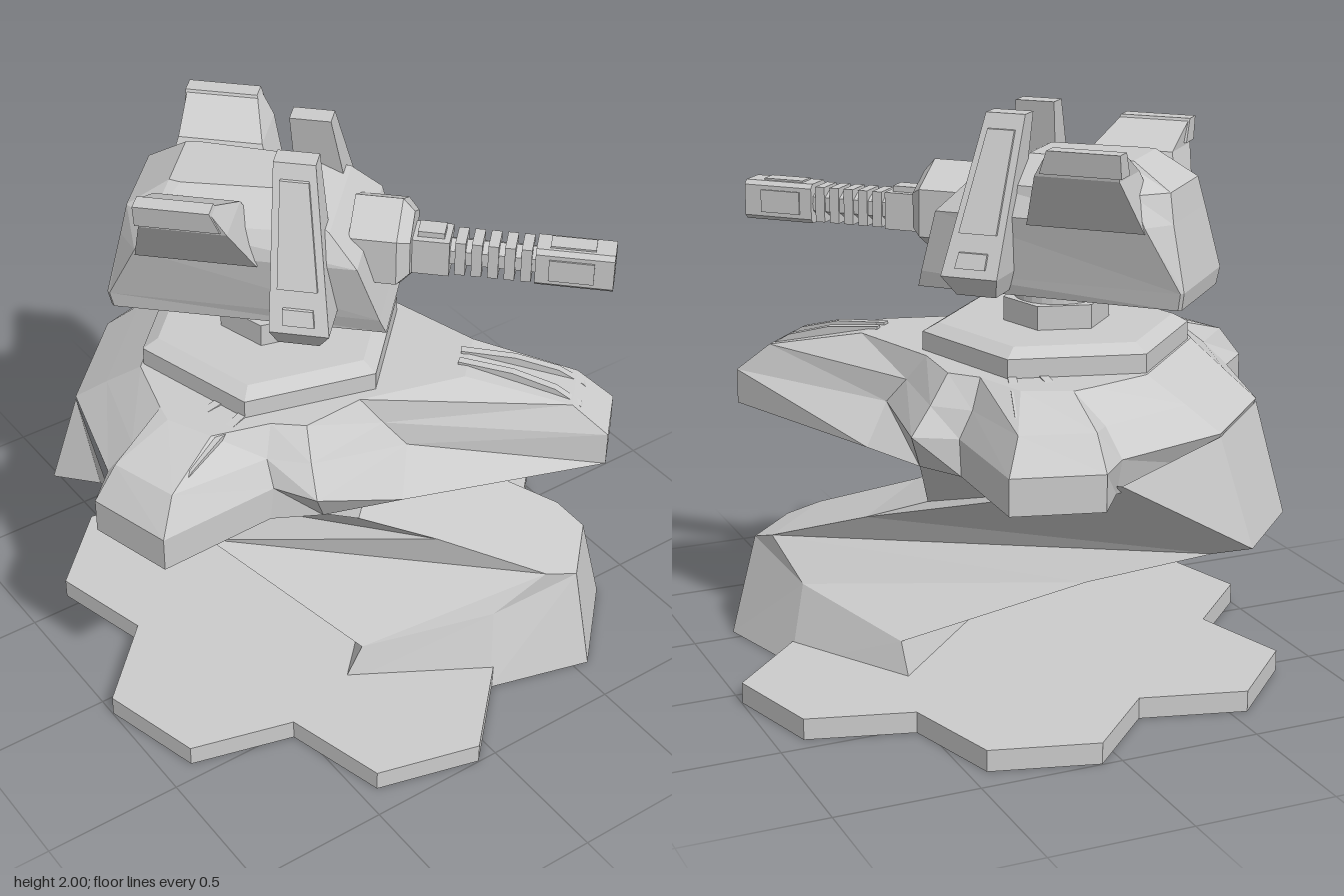
import * as THREE from 'three';

const material = new THREE.MeshStandardMaterial({ color: 0xcccccc, flatShading: true });

function makeGeometry(triangles) {
  const g = new THREE.BufferGeometry();
  g.setAttribute('position', new THREE.Float32BufferAttribute(triangles.flat(2), 3));
  g.computeVertexNormals();
  return g;
}

// Skin over stacked rings of [x, y, z] points, closed at both ends
function loft(rings) {
  const tris = [];
  for (let r = 0; r < rings.length - 1; r++) {
    const lo = rings[r], hi = rings[r + 1], n = lo.length;
    for (let i = 0; i < n; i++) {
      const j = (i + 1) % n;
      tris.push([lo[i], hi[i], hi[j]], [lo[i], hi[j], lo[j]]);
    }
  }
  const cap = (ring, up) => {
    const pts = ring.map(p => new THREE.Vector2(p[0], p[2]));
    for (const [a, b, c] of THREE.ShapeUtils.triangulateShape(pts, [])) {
      const ccw = THREE.ShapeUtils.area([pts[a], pts[b], pts[c]]) > 0;
      tris.push(ccw !== up ? [ring[a], ring[b], ring[c]] : [ring[a], ring[c], ring[b]]);
    }
  };
  cap(rings[0], false);
  cap(rings[rings.length - 1], true);
  return makeGeometry(tris);
}

const flip = ([x, y, z]) => [-x, y, z];
// Full ring from its +x half, listed back to front
const mirrorRing = half => [...half, ...half.map(flip).reverse()];
const level = (y, half) => mirrorRing(half.map(([x, z, dy = 0]) => [x, y + dy, z]));
const rect = (y, x0, x1, z0, z1) => [[x0, y, z0], [x1, y, z0], [x1, y, z1], [x0, y, z1]];

function mirrored(geometry) {
  const g = geometry.clone();
  const p = g.attributes.position;
  for (let i = 0; i < p.count; i += 3) {
    const t = [0, 1, 2].map(k => [-p.getX(i + k), p.getY(i + k), p.getZ(i + k)]);
    [t[0], t[2], t[1]].forEach((v, k) => p.setXYZ(i + k, ...v));
  }
  g.computeVertexNormals();
  return g;
}

const toPoints = points => points.map(p => new THREE.Vector2(...p));
const hexPoints = r => Array.from({ length: 6 }, (_, i) => [r * Math.cos(i * Math.PI / 3), r * Math.sin(i * Math.PI / 3)]);

export function createModel() {
  const model = new THREE.Group();
  model.name = 'turretEmplacement';
  const add = (name, geometry, x = 0, y = 0, z = 0) => {
    const m = new THREE.Mesh(geometry, material);
    m.name = name;
    m.position.set(x, y, z);
    model.add(m);
  };
  const addPair = (name, geometry) => {
    add(name + 'Left', geometry);
    add(name + 'Right', mirrored(geometry));
  };

  // Ground plate: outline of clustered hexagons, open where the foot stands
  const outline = [];
  for (let i = 0; i < 6; i++) {
    for (const [r, offset] of [[0.757, 0], [1.0, 19.1], [1.0, 40.9]]) {
      const degrees = i * 60 + offset;
      if (Math.abs(degrees - 90) < 15) continue;
      const a = THREE.MathUtils.degToRad(degrees);
      outline.push([r * Math.cos(a), r * Math.sin(a)]);
    }
  }
  const plate = new THREE.ExtrudeGeometry(new THREE.Shape(toPoints(outline)), { depth: 0.075, bevelEnabled: false });
  add('groundPlate', plate.rotateX(Math.PI / 2), 0, 0.075, 0);

  // Leaning pedestal: foot, ramp and overhanging keel, from one half
  const P = {
    a: [0.51, 0.04, 0.13], b: [0.39, 0, 0.65], c: [0.2, 0, 0.985],
    d: [0.45, 0.18, 0.19], e: [0.3, 0.275, 0.64], f: [0.135, 0.365, 0.915],
    g: [0.23, 0.405, -0.41], h: [0.2, 0.405, 0.81], i: [0.14, 0.535, -0.83],
    j: [0.23, 0.535, 0.42], k: [0.3, 0.65, 0.15], l: [0.2, 0.595, -0.985],
    m: [0.22, 0.98, -0.87], n: [0.6, 0.9, -0.655], o: [0.55, 0.87, 0.07],
  };
  const tris = [];
  const face = pts => {
    for (let i = 1; i < pts.length - 1; i++) tris.push([pts[0], pts[i], pts[i + 1]]);
  };
  for (const f of ['deba', 'efcb', 'ghed', 'hfe', 'ijhg', 'nokji', 'lmni']) {
    const pts = [...f].map(c => P[c]);
    face(pts);
    face(pts.map(flip).reverse());
  }
  for (const [p, q] of ['cf', 'fh', 'hj', 'jk', 'ko']) face([flip(P[p]), P[p], P[q], flip(P[q])]);
  for (const [p, q] of ['ad', 'dg', 'gi', 'il', 'lm']) face([P[p], flip(P[p]), flip(P[q]), P[q]]);
  face([P.c, flip(P.c), flip(P.b), P.b]);
  add('pedestal', makeGeometry(tris));

  // Deck: wings with upright rims, sloping cheeks, wedge prow, flat top
  add('deck', loft([
    level(0.865, [[0.18, -0.82], [0.58, -0.63], [0.757, -0.658], [0.911, -0.389],
      [0.6, -0.1], [0.55, 0.07], [0.425, 0.32], [0.11, 0.98]]),
    level(0.99, [[0.22, -0.87], [0.6, -0.655], [0.757, -0.658], [0.911, -0.389],
      [0.59, -0.09], [0.63, 0.064], [0.28, 0.31], [0.11, 0.98]]),
    level(1.08, [[0.23, -0.75], [0.55, -0.58], [0.69, -0.6, 0.02], [0.81, -0.38, 0.02],
      [0.55, -0.12], [0.55, 0.03], [0.29, 0.23], [0.1, 0.85, 0.015]]),
    level(1.175, [[0.25, -0.62], [0.46, -0.5], [0.52, -0.46], [0.58, -0.3],
      [0.48, -0.12], [0.47, 0], [0.3, 0.15], [0.11, 0.48]]),
  ]));

  // Curved blades on the two wings and the prow
  const bladeShape = new THREE.Shape(toPoints(
    [[0.45, 1.05], [0.9, 0.95], [0.93, 1.0], [0.88, 1.075], [0.79, 1.13], [0.64, 1.17], [0.45, 1.185]]));
  for (const [angle, spread] of [[-32, 6], [90, 4], [212, 6]]) {
    for (const s of [-1, 1]) {
      const g = new THREE.ExtrudeGeometry(bladeShape, { depth: 0.03, bevelEnabled: false });
      g.translate(0, 0, -0.015).rotateY(-THREE.MathUtils.degToRad(angle + s * spread));
      add('deckBlade', g);
    }
  }

  // Hexagonal platform and swivel neck
  const hex = (r0, r1, h) => new THREE.CylinderGeometry(r1, r0, h, 6).rotateY(Math.PI / 6);
  add('platformBase', hex(0.465, 0.465, 0.08), 0, 1.2, -0.21);
  add('platformTop', hex(0.465, 0.41, 0.03), 0, 1.255, -0.21);
  add('neck', hex(0.185, 0.185, 0.085), 0, 1.31, -0.21);
  add('swivelRing', new THREE.CylinderGeometry(0.145, 0.145, 0.07, 24), 0, 1.375, -0.21);

  // Turret body with a tapered back plate and chamfered rear corners
  add('turretBody', loft([
    level(1.39, [[0.2, -0.72], [0.21, -0.71], [0.2, 0.22]]),
    level(1.45, [[0.21, -0.73], [0.22, -0.72], [0.22, 0.2]]),
    level(1.67, [[0.18, -0.68], [0.27, -0.61], [0.26, 0.13]]),
    level(1.77, [[0.155, -0.66], [0.25, -0.56], [0.21, 0.03]]),
    level(1.86, [[0.12, -0.52], [0.13, -0.48], [0.11, -0.15]]),
  ]));

  // Rear fins sweeping up and outwards from the roof
  addPair('rearFin', loft([
    rect(1.65, 0.08, 0.27, -0.61, -0.2),
    rect(1.84, 0.18, 0.385, -0.56, -0.27),
    rect(1.925, 0.35, 0.4, -0.565, -0.32),
  ]));
  addPair('finTip', loft([
    rect(1.85, 0.31, 0.395, -0.57, -0.29),
    rect(1.93, 0.345, 0.41, -0.57, -0.32),
  ]));

  // Side pods, leaning inwards, with raised panels on the outer face
  addPair('sidePod', loft([
    rect(1.41, 0.22, 0.34, -0.12, 0.02),
    rect(1.48, 0.2, 0.385, -0.14, 0.06),
    rect(2.0, 0.1, 0.175, -0.16, -0.02),
  ]));
  const podPanel = (y0, y1, inset) => loft([y0, y1].map(y => {
    const t = (y - 1.48) / 0.52;
    const x = 0.385 - 0.21 * t;
    return rect(y, x - 0.03, x + 0.012, -0.14 - 0.02 * t + inset, 0.06 - 0.08 * t - inset);
  }));
  addPair('podPanel', podPanel(1.62, 1.95, 0.025));
  addPair('podLatch', podPanel(1.51, 1.56, 0.045));

  // Gun mount
  const gunY = 1.61;
  const hexAlongZ = (rBack, rFront, length) => new THREE.CylinderGeometry(rFront, rBack, length, 6).rotateX(Math.PI / 2);
  add('gunMount', hexAlongZ(0.165, 0.165, 0.16), 0, gunY + 0.02, 0.16);
  add('gunMountFace', hexAlongZ(0.165, 0.12, 0.04), 0, gunY + 0.02, 0.26);

  // Barrel with ribs
  const box = (name, w, h, d, y, z) => add(name, new THREE.BoxGeometry(w, h, d), 0, y, z);
  box('barrelSleeve', 0.12, 0.13, 0.13, gunY, 0.34);
  box('sleeveBlock', 0.07, 0.03, 0.09, gunY + 0.07, 0.34);
  add('barrel', hexAlongZ(0.05, 0.05, 0.4), 0, gunY, 0.55);
  for (let i = 0; i < 5; i++) {
    box('barrelRib', 0.1, 0.125, 0.035, gunY, 0.44 + i * 0.055);
  }

  // Hollow muzzle block with raised panels
  const muzzle = new THREE.Shape(toPoints(
    [[-0.06, -0.055], [-0.045, -0.07], [0.045, -0.07], [0.06, -0.055], [0.06, 0.055], [0.045, 0.07], [-0.045, 0.07], [-0.06, 0.055]]));
  muzzle.holes.push(new THREE.Path(toPoints(hexPoints(0.048))));
  add('muzzle', new THREE.ExtrudeGeometry(muzzle, { depth: 0.26, bevelEnabled: false }), 0, gunY, 0.69);
  add('muzzleCore', hexAlongZ(0.055, 0.055, 0.16), 0, gunY, 0.775);
  for (const s of [-1, 1]) {
    add('muzzlePanel', new THREE.BoxGeometry(0.012, 0.08, 0.15), s * 0.06, gunY, 0.81);
  }
  box('muzzleTopPanel', 0.065, 0.012, 0.15, gunY + 0.07, 0.81);

  // The whole emplacement points along the diagonal
  model.rotation.y = Math.PI / 4;
  const root = new THREE.Group();
  root.name = 'model';
  root.add(model);
  return root;
}
